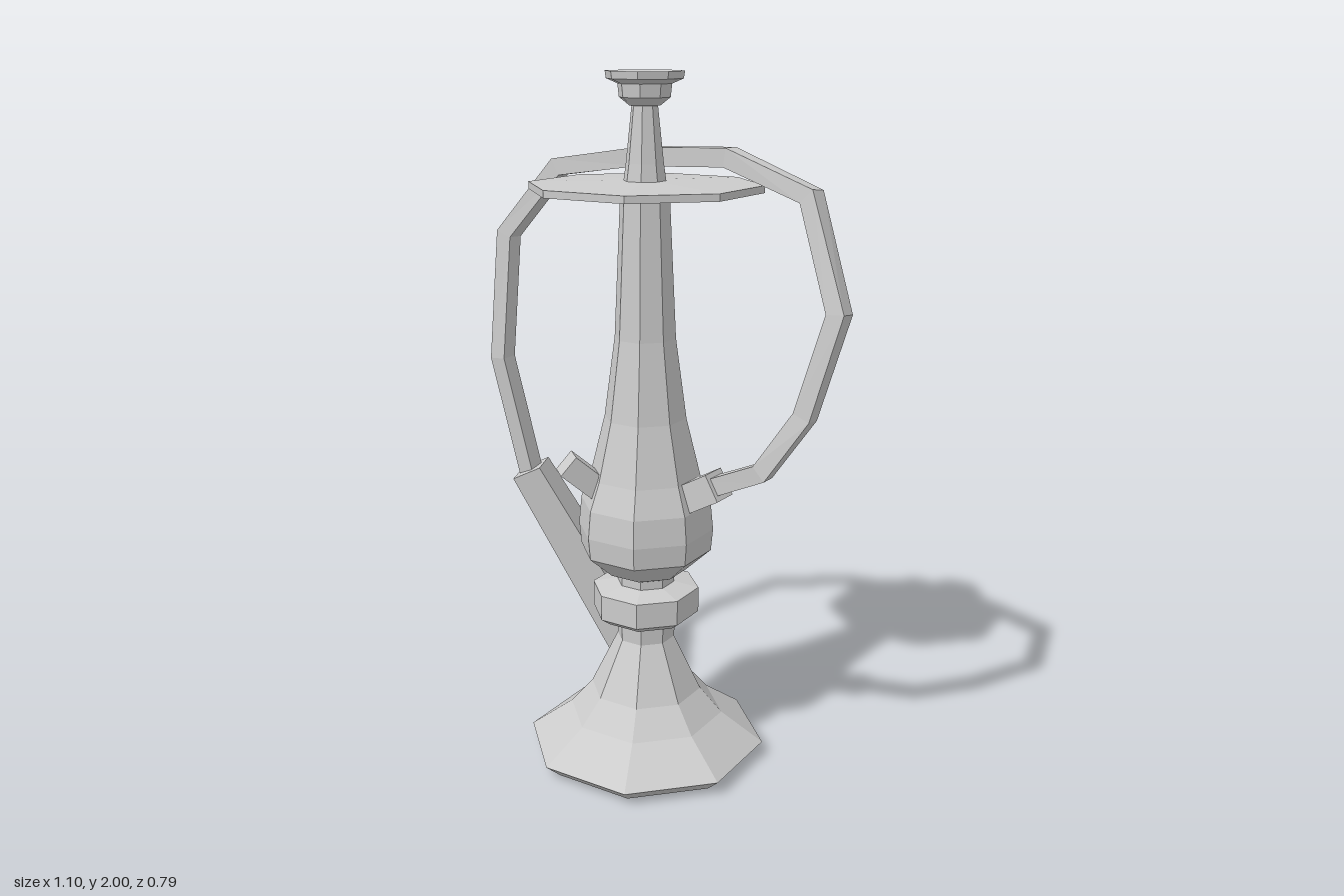
import * as THREE from 'three';

const material = new THREE.MeshStandardMaterial({ color: 0xcccccc, flatShading: true });
const V = (p) => new THREE.Vector3(...p);

// Eight-sided turned part around the body axis; profile is [radius, y], bottom to top
function turned(name, profile) {
  const geo = new THREE.LatheGeometry(profile.map(([r, y]) => new THREE.Vector2(r, y)), 8);
  const mesh = new THREE.Mesh(geo, material);
  mesh.name = name;
  mesh.position.set(-0.025, 0, 0.04);
  return mesh;
}

// Skin through four-cornered loops, capped at both ends
function loft(name, loops) {
  const pos = [];
  const quad = (a, b, c, d) => [a, b, c, a, c, d].forEach((p) => pos.push(p.x, p.y, p.z));
  for (let i = 0; i < loops.length - 1; i++) {
    for (let j = 0; j < 4; j++) {
      const k = (j + 1) % 4;
      quad(loops[i][j], loops[i][k], loops[i + 1][k], loops[i + 1][j]);
    }
  }
  quad(...[...loops[0]].reverse());
  quad(...loops[loops.length - 1]);
  const geo = new THREE.BufferGeometry();
  geo.setAttribute('position', new THREE.Float32BufferAttribute(pos, 3));
  geo.computeVertexNormals();
  const mesh = new THREE.Mesh(geo, material);
  mesh.name = name;
  return mesh;
}

// Square bar along a path, kept level with a given side direction
function squareBar(name, path, half, side) {
  const pts = path.map(V);
  const loops = pts.map((p, i) => {
    const t = pts[Math.min(i + 1, pts.length - 1)].clone().sub(pts[Math.max(i - 1, 0)]).normalize();
    const n = V(side).addScaledVector(t, -V(side).dot(t)).normalize();
    const b = t.clone().cross(n);
    return [[1, 1], [-1, 1], [-1, -1], [1, -1]].map(([u, v]) =>
      p.clone().addScaledVector(n, u * half).addScaledVector(b, v * half));
  });
  return loft(name, loops);
}

export function createModel() {
  const group = new THREE.Group();
  group.name = 'waterPipe';

  // Foot, collar, vase and stem
  group.add(turned('foot', [
    [0, 0.02], [0.31, 0.005], [0.355, 0.045], [0.23, 0.135], [0.165, 0.21],
    [0.085, 0.375], [0.088, 0.45],
  ]));
  group.add(turned('collar', [[0, 0.44], [0.13, 0.44], [0.157, 0.46], [0.157, 0.535], [0.085, 0.55], [0.085, 0.59]]));
  group.add(turned('vase', [
    [0, 0.575], [0.085, 0.575], [0.12, 0.59], [0.192, 0.655], [0.198, 0.72], [0.19, 0.8],
    [0.16, 0.88], [0.118, 1.05], [0.087, 1.28], [0.068, 1.69],
  ]));
  group.add(turned('stem', [[0.062, 1.69], [0.052, 1.76], [0.036, 1.91]]));

  // Tray, slightly wider from side to side
  const tray = turned('tray', [[0, 1.665], [0.3, 1.685], [0.3, 1.705], [0, 1.715]]);
  tray.scale.x = 1.083;
  group.add(tray);

  // Bowl with a shallow hollow
  group.add(turned('bowl', [
    [0, 1.91], [0.042, 1.91], [0.07, 1.932], [0.074, 1.967], [0.105, 1.98], [0.108, 2],
    [0.05, 1.985], [0, 1.985],
  ]));

  // Ports on both sides of the vase
  group.add(squareBar('leftPort', [[0.07, 0.81, 0.08], [0.2, 0.89, 0.14]], 0.041, [-0.4, 0, 0.9]));
  group.add(squareBar('rightPort', [[-0.11, 0.81, 0.08], [-0.235, 0.93, 0.14]], 0.034, [0.4, 0, 0.9]));

  // Hose looping over the tray
  group.add(squareBar('hose', [
    [0.17, 0.875, 0.125], [0.325, 0.955, 0.205], [0.435, 1.12, 0.22], [0.515, 1.4, 0.23],
    [0.43, 1.69, 0.145], [0.2, 1.775, 0.005], [-0.06, 1.765, -0.105], [-0.315, 1.725, -0.185],
    [-0.49, 1.52, -0.245], [-0.52, 1.14, -0.24], [-0.44, 0.76, -0.25],
  ], 0.026, [-0.4, 0, 0.9]));

  // Mouthpiece, widening to a hollow end
  const top = [[-0.4, 0.8, -0.19], [-0.485, 0.76, -0.19], [-0.485, 0.76, -0.305], [-0.4, 0.8, -0.305]].map(V);
  const end = [[-0.06, 0.19, -0.24], [-0.16, 0.11, -0.245], [-0.16, 0.11, -0.395], [-0.06, 0.19, -0.395]].map(V);
  const mid = end.reduce((s, p) => s.add(p), new THREE.Vector3()).multiplyScalar(0.25);
  const rim = end.map((p) => p.clone().lerp(mid, 0.25));
  const hollow = end.map((p) => p.clone().lerp(mid, 0.45).add(V([-0.025, 0.045, 0.005])));
  group.add(loft('mouthpiece', [top, end, rim, hollow]));

  return group;
}
